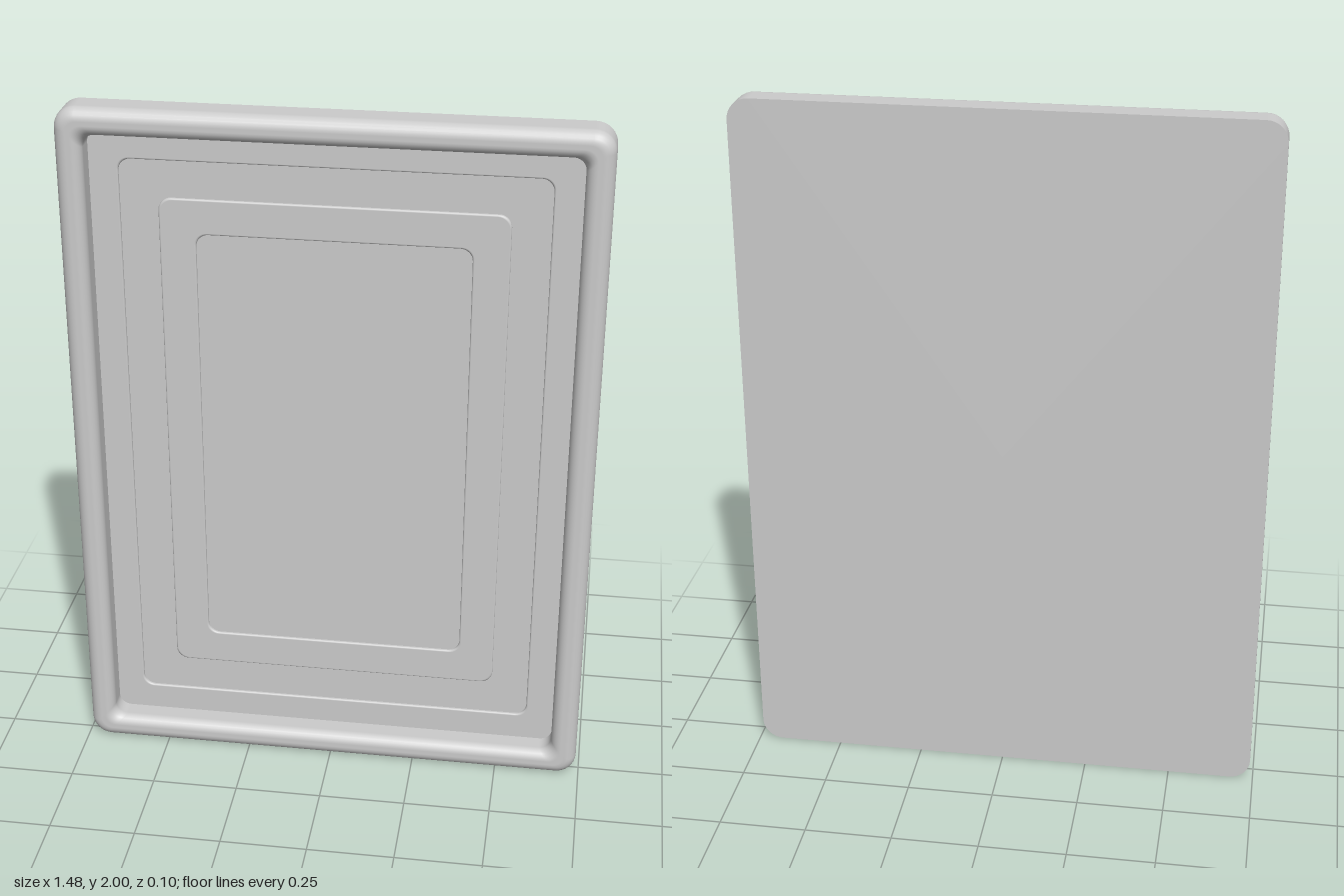
import * as THREE from 'three';

const HALF_W = 0.74, HALF_H = 1, SEG = 8;
const material = new THREE.MeshStandardMaterial({ color: 0xcccccc });

// Profile point: inset from the outer edge, depth z, normal angle in degrees
// (0 = outward, 90 = forward, 180 = inward), k = 0 collapses the ring to the centre.
const pt = (s, z, a, k = 1) => ({ s, z, a, k });

// Quarter round about the profile point (s, z)
function fillet(s, z, r, a0, a1, n = 6) {
  return Array.from({ length: n + 1 }, (_, i) => {
    const a = a0 + (a1 - a0) * i / n, t = THREE.MathUtils.degToRad(a);
    return pt(s - r * Math.cos(t), z + r * Math.sin(t), a);
  });
}

// Sweep a profile around a rounded rectangle
function sweep(name, profile) {
  const pos = [], nor = [], idx = [], ring = 4 * (SEG + 1);
  for (const { s, z, a, k } of profile) {
    const r = Math.max(0.06 - s, 0.035), t = THREE.MathUtils.degToRad(a);
    for (let c = 0; c < 4; c++) {
      const sx = c === 0 || c === 3 ? 1 : -1, sy = c < 2 ? 1 : -1;
      for (let i = 0; i <= SEG; i++) {
        const q = (c + i / SEG) * Math.PI / 2, dx = Math.cos(q), dy = Math.sin(q);
        pos.push(k * (sx * (HALF_W - s - r) + r * dx), HALF_H + k * (sy * (HALF_H - s - r) + r * dy), z);
        nor.push(dx * Math.cos(t), dy * Math.cos(t), Math.sin(t));
      }
    }
  }
  for (let i = 0; i < profile.length - 1; i++) {
    const p = profile[i], n = profile[i + 1];
    if (p.s === n.s && p.z === n.z && p.k === n.k) continue; // sharp crease
    for (let j = 0; j < ring; j++) {
      const a = i * ring + j, b = i * ring + (j + 1) % ring;
      if (p.k) idx.push(a, b, b + ring);
      if (n.k) idx.push(a, b + ring, a + ring);
      else if (!p.k) continue;
    }
  }
  const g = new THREE.BufferGeometry();
  g.setAttribute('position', new THREE.Float32BufferAttribute(pos, 3));
  g.setAttribute('normal', new THREE.Float32BufferAttribute(nor, 3));
  g.setIndex(idx);
  const mesh = new THREE.Mesh(g, material);
  mesh.name = name;
  return mesh;
}

export function createModel() {
  const group = new THREE.Group();
  group.name = 'framedPanel';
  const back = -0.05, floor = -0.025, low = -0.033, r = 0.005;

  // Flat back
  group.add(sweep('backing', [pt(0, back, -90, 0), pt(0, back, -90)]));

  // Rounded rim with an upright inner wall
  group.add(sweep('frame', [
    pt(0, back, 0),
    ...fillet(0.035, 0.015, 0.035, 0, 90),
    ...fillet(0.046, 0.02, 0.03, 90, 180),
    pt(0.076, floor, 180),
  ]));

  // Recessed panel: groove, raised band, sunken centre
  const stepDown = s => [...fillet(s - r, floor - r, r, 90, 180, 4), pt(s, low, 180), pt(s, low, 90)];
  const stepUp = s => [pt(s, low, 90), pt(s, low, 0), ...fillet(s + r, floor - r, r, 0, 90, 4)];
  group.add(sweep('panel', [
    pt(0.076, floor, 90),
    ...stepDown(0.156),
    ...stepUp(0.262),
    ...stepDown(0.363),
    pt(0.363, low, 90, 0),
  ]));
  return group;
}
